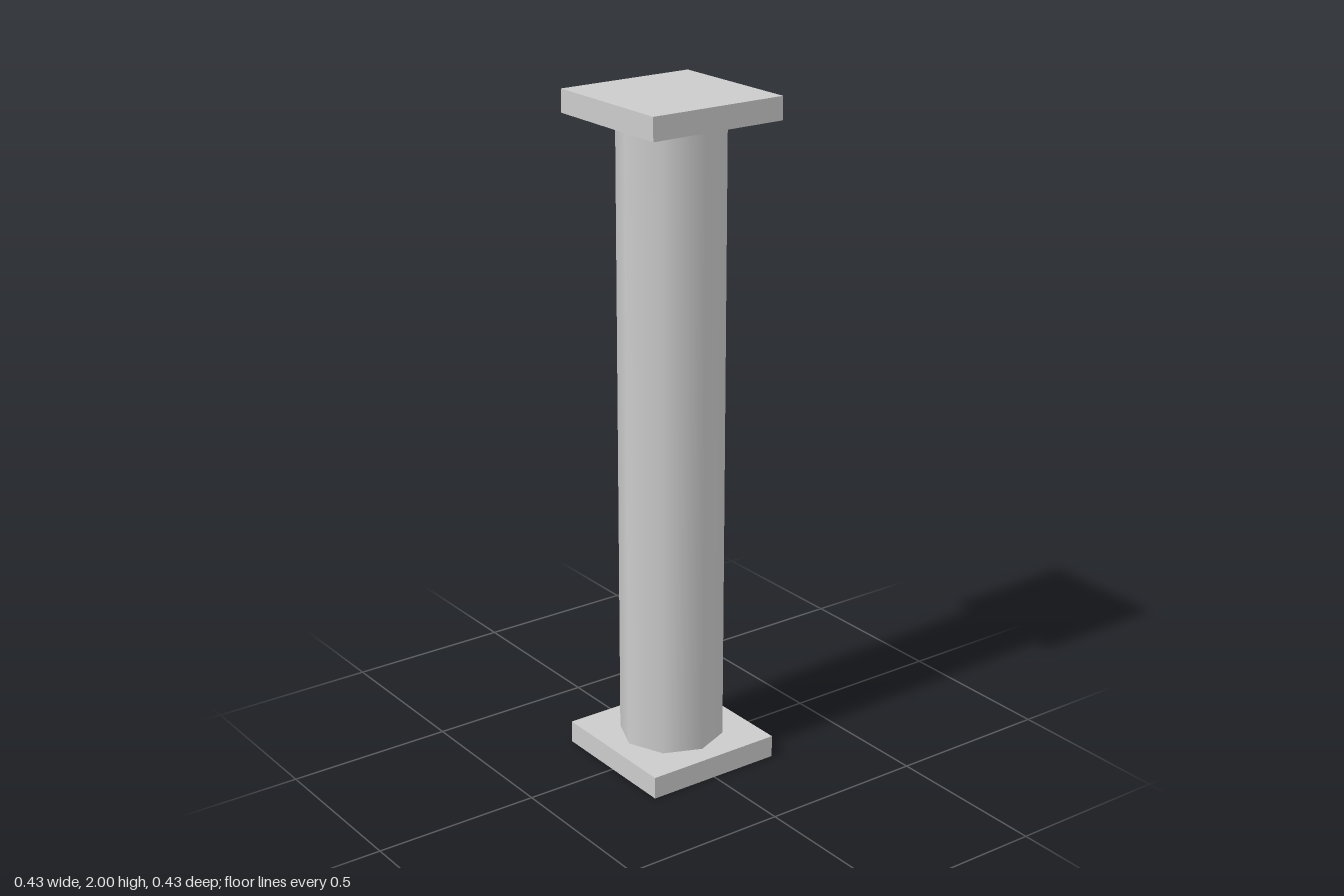
import * as THREE from 'three';

const HEIGHT = 2;
const SLAB_WIDTH = 0.43;
const SLAB_HEIGHT = 0.067;
const SHAFT_RADIUS = 0.155;

export function createModel() {
  const model = new THREE.Group();
  model.name = 'column';
  const material = new THREE.MeshStandardMaterial({ color: 0xcccccc });

  const addPart = (name, geometry, y) => {
    const mesh = new THREE.Mesh(geometry, material);
    mesh.name = name;
    mesh.position.y = y;
    model.add(mesh);
  };

  // Square slabs at the foot and the head
  const slab = new THREE.BoxGeometry(SLAB_WIDTH, SLAB_HEIGHT, SLAB_WIDTH);
  addPart('base', slab, SLAB_HEIGHT / 2);
  addPart('capital', slab, HEIGHT - SLAB_HEIGHT / 2);

  // Eight-sided, smooth-shaded shaft between the slabs
  const shaftHeight = HEIGHT - 2 * SLAB_HEIGHT;
  addPart('shaft', new THREE.CylinderGeometry(SHAFT_RADIUS, SHAFT_RADIUS, shaftHeight, 8, 1, true), HEIGHT / 2);

  return model;
}
